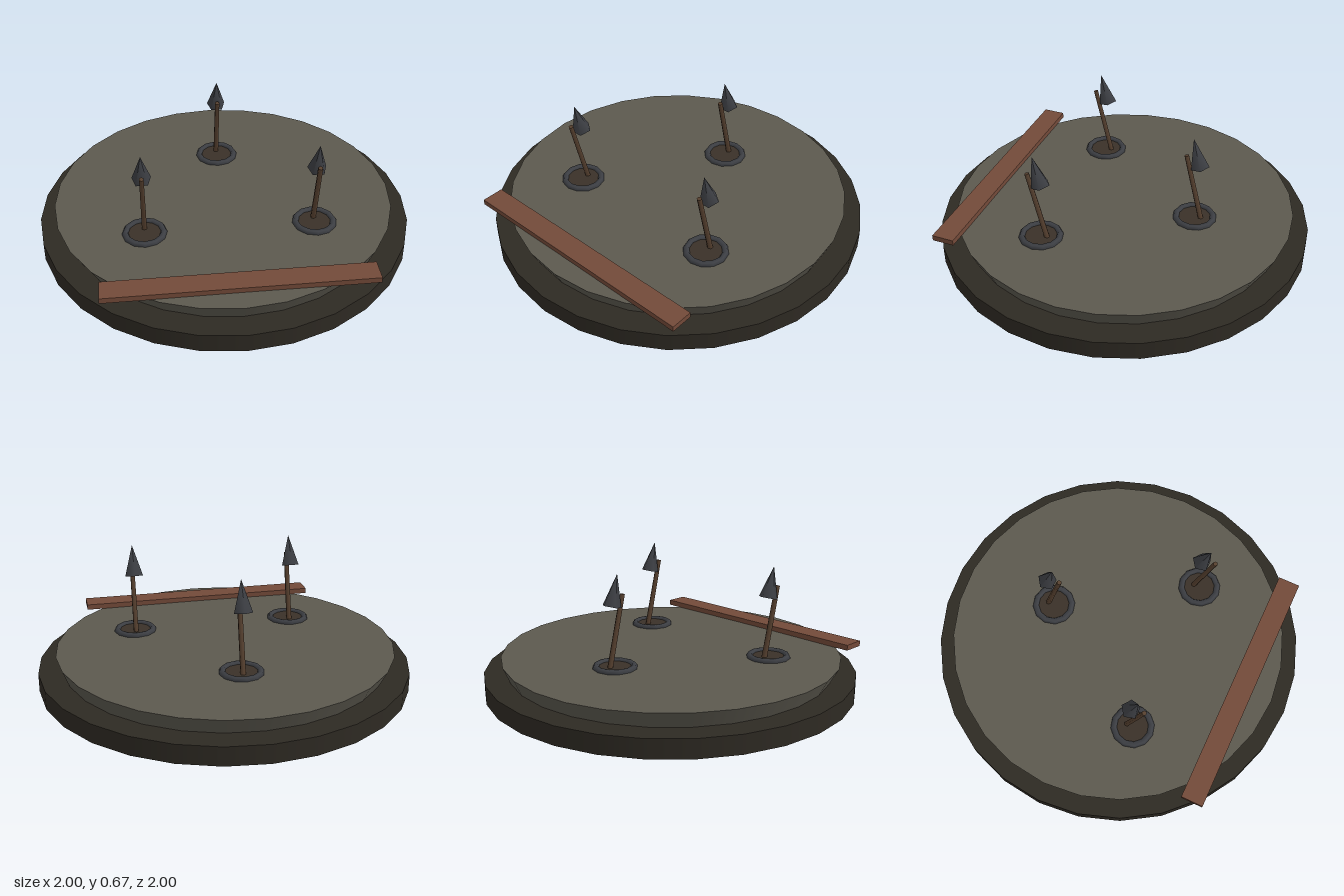
import * as THREE from 'three';

const material = (color) => new THREE.MeshStandardMaterial({ color });
const earth = material(0x2e2a23);
const stone = material(0x5c594f);
const iron = material(0x3c3e43);
const pit = material(0x3a3128);
const wood = material(0x56402f);
const plankWood = material(0x734a39);

function add(parent, name, geometry, mat, x = 0, y = 0, z = 0) {
  const mesh = new THREE.Mesh(geometry, mat);
  mesh.name = name;
  mesh.position.set(x, y, z);
  parent.add(mesh);
  return mesh;
}

// Slab whose top edge is slightly uneven
function slabGeometry() {
  const geometry = new THREE.CylinderGeometry(0.911, 0.87, 0.09, 28);
  const p = geometry.attributes.position;
  for (let i = 0; i < p.count; i++) {
    const x = p.getX(i), y = p.getY(i), z = p.getZ(i);
    if (y < 0 || Math.hypot(x, z) < 0.1) continue;
    const a = Math.atan2(x, z);
    const k = 1 - 0.007 * Math.sin(a);
    p.setXYZ(i, x * k, y - 0.002 + 0.002 * Math.cos(3 * a), z * k);
  }
  geometry.computeBoundingSphere();
  return geometry;
}

// Leaning spear standing in a ringed socket
function createSpear(x, z) {
  const spear = new THREE.Group();
  spear.name = 'spearTrap';
  spear.position.set(x, 0, z);

  add(spear, 'socketFloor', new THREE.CylinderGeometry(0.095, 0.095, 0.012, 12), pit, 0, 0.187, 0);
  const ring = add(spear, 'socketRing', new THREE.TorusGeometry(0.1, 0.018, 6, 12), iron, 0, 0.189, 0);
  ring.rotation.x = Math.PI / 2;

  const shaft = add(spear, 'shaft', new THREE.CylinderGeometry(0.013, 0.015, 0.39, 6), wood, 0, 0.377, 0.012);
  shaft.rotation.x = 0.24;

  const tipGeometry = new THREE.ConeGeometry(0.051, 0.167, 5);
  tipGeometry.rotateY(Math.PI);
  const tip = add(spear, 'spearhead', tipGeometry, iron, 0, 0.594, 0.004);
  tip.rotation.x = 0.25;
  return spear;
}

export function createModel() {
  const model = new THREE.Group();
  model.name = 'spearTrapPlatform';

  // Round base and slab
  add(model, 'base', new THREE.CylinderGeometry(1, 1, 0.1, 28), earth, 0, 0.05, 0);
  add(model, 'slab', slabGeometry(), stone, 0, 0.143, 0);

  // Three spears
  for (const [x, z] of [[-0.445, 0.293], [0.445, 0.293], [0, -0.4]]) model.add(createSpear(x, z));

  // Plank across the front edge
  add(model, 'plank', new THREE.BoxGeometry(1.36, 0.03, 0.12), plankWood, 0, 0.2, 0.74);
  return model;
}
